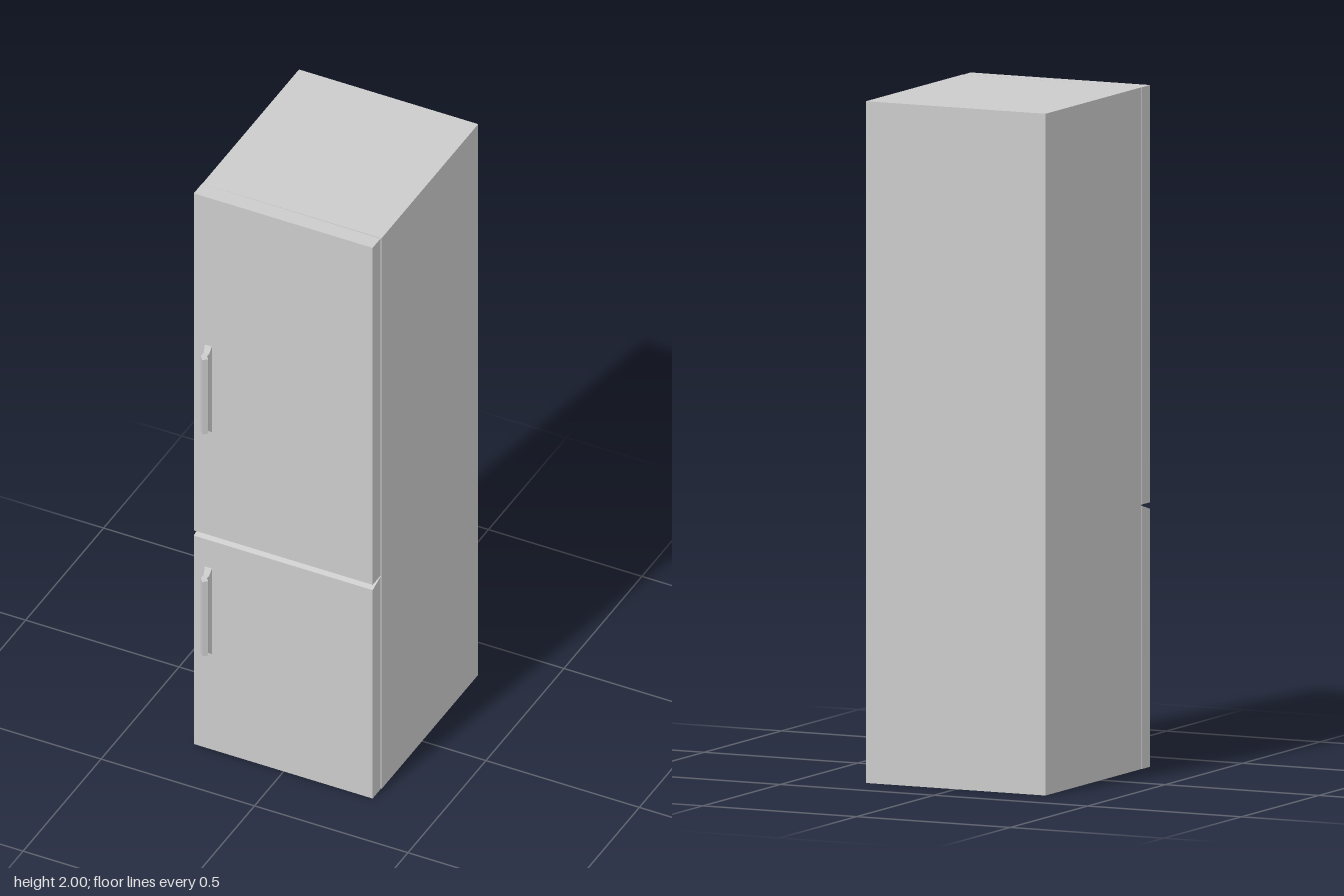
import * as THREE from 'three';

const grey = new THREE.MeshStandardMaterial({ color: 0xcccccc, flatShading: true });

function addMesh(parent, name, geometry) {
  const mesh = new THREE.Mesh(geometry, grey);
  mesh.name = name;
  parent.add(mesh);
  return mesh;
}

// Door slab: the back leaves a hair-thin gap that widens towards the hinge side,
// and the top edge may slope down towards the front.
function doorGeometry(bottom, topBack, topFront) {
  const back = 0.26, front = 0.313;
  const geometry = new THREE.BoxGeometry(1, 1, 1);
  const p = geometry.attributes.position;
  for (let i = 0; i < p.count; i++) {
    const isFront = p.getZ(i) > 0, isHinge = p.getX(i) > 0;
    const y = p.getY(i) < 0 ? bottom : isFront ? topFront : topBack;
    const z = isFront ? front : back + (isHinge ? 0.003 : 0.0005);
    p.setXYZ(i, isHinge ? 0.29 : -0.293, y, z);
  }
  geometry.computeVertexNormals();
  return geometry;
}

// Handle: hooked bar on a flared foot
function makeHandle(name, centreY) {
  const handle = new THREE.Group();
  handle.name = name;
  const length = 0.27;

  // Shape is drawn as (x, -z) so that it extrudes upwards
  const hook = [
    [-0.254, 0.313], [-0.237, 0.313], [-0.237, 0.338],
    [-0.228, 0.348], [-0.241, 0.36], [-0.254, 0.345],
  ].map(([x, z]) => new THREE.Vector2(x, -z));
  const bar = new THREE.ExtrudeGeometry(new THREE.Shape(hook), { depth: length, bevelEnabled: false });
  bar.rotateX(-Math.PI / 2);
  bar.translate(0, -length / 2, 0);
  addMesh(handle, 'handleBar', bar);

  // Foot widens towards the door
  const foot = new THREE.BoxGeometry(0.017, length, 0.012);
  const p = foot.attributes.position;
  for (let i = 0; i < p.count; i++) {
    if (p.getZ(i) < 0) {
      p.setX(i, p.getX(i) * 1.35);
      p.setY(i, p.getY(i) * 1.15);
    }
  }
  foot.computeVertexNormals();
  foot.translate(-0.2455, 0, 0.319);
  addMesh(handle, 'handleFoot', foot);

  handle.position.y = centreY;
  return handle;
}

export function createModel() {
  const fridge = new THREE.Group();
  fridge.name = 'fridgeFreezer';

  // Cabinet
  const cabinet = addMesh(fridge, 'cabinet', new THREE.BoxGeometry(0.584, 2, 0.62));
  cabinet.position.set(0, 1, -0.05);

  // Doors
  addMesh(fridge, 'upperDoor', doorGeometry(0.776, 2, 2));
  addMesh(fridge, 'lowerDoor', doorGeometry(0, 0.772, 0.757));

  // Handles
  fridge.add(makeHandle('upperHandle', 1.308), makeHandle('lowerHandle', 0.502));
  return fridge;
}
